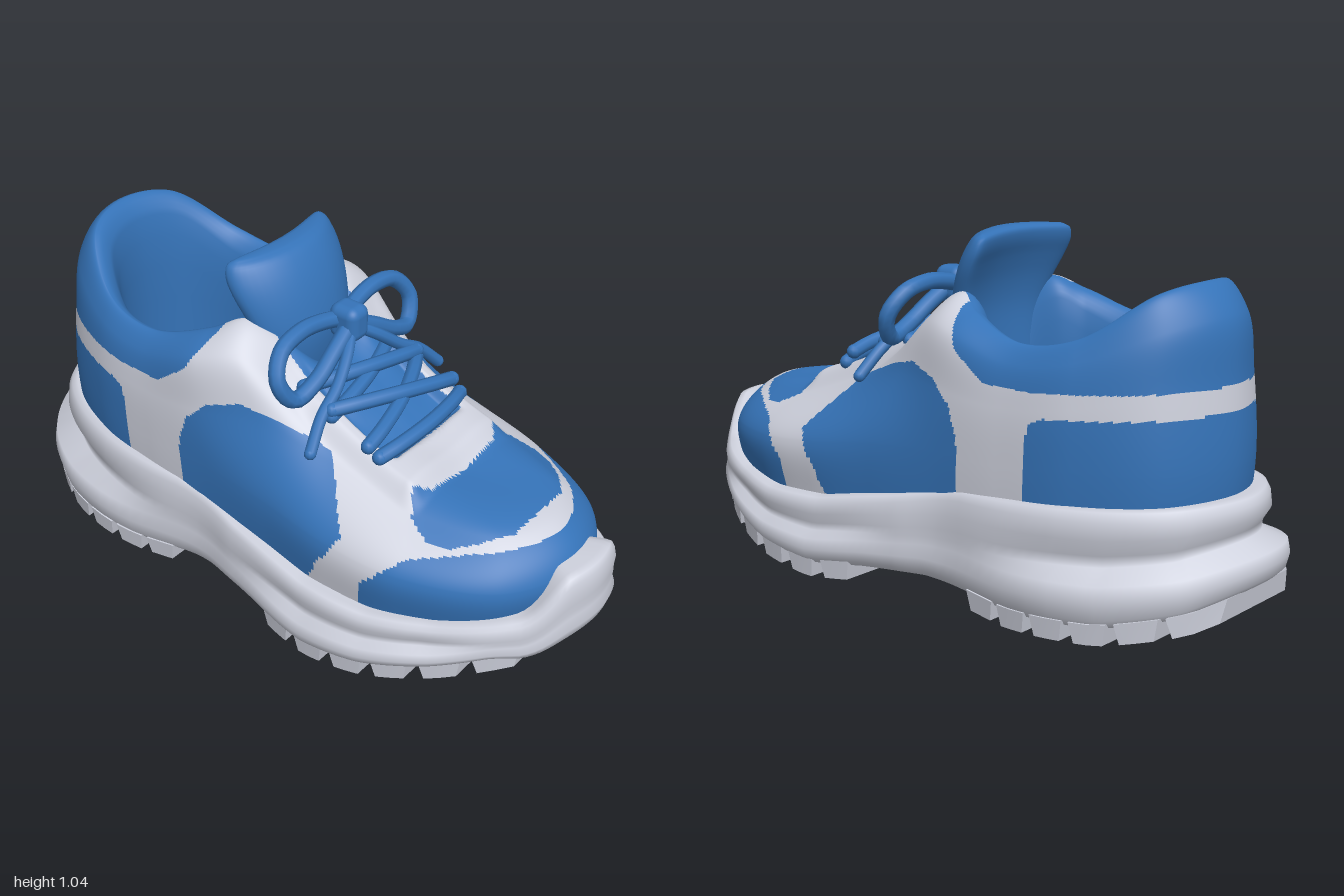
import * as THREE from 'three';
import { RoundedBoxGeometry } from 'three/addons/geometries/RoundedBoxGeometry.js';

const V = (x, y, z) => new THREE.Vector3(x, y, z);
const smooth = THREE.MathUtils.smoothstep;

// Linear lookup in a list of [key, value] pairs with rising keys
function lookup(table, k) {
  if (k <= table[0][0]) return table[0][1];
  for (let i = 1; i < table.length; i++) {
    const [k0, v0] = table[i - 1], [k1, v1] = table[i];
    if (k <= k1) return v0 + (v1 - v0) * (k - k0) / (k1 - k0);
  }
  return table[table.length - 1][1];
}

// Closed ring from a heel-to-toe half, mirrored in x
function ring(half, n) {
  const right = half.map(p => V(...p));
  const left = right.slice(1, -1).reverse().map(p => V(-p.x, p.y, p.z));
  const curve = new THREE.CatmullRomCurve3([...right, ...left], true);
  return Array.from({ length: n }, (_, i) => curve.getPoint(i / n));
}

function centreRing(r) {
  const c = r.reduce((s, p) => s.add(p), V(0, 0, 0)).divideScalar(r.length);
  return r.map(() => c.clone());
}

// Skin through rings; pick(centre, row) chooses a material slot per quad
function loft(rings, pick = () => 0, slots = 1) {
  const n = rings[0].length, lists = Array.from({ length: slots }, () => []);
  const c = V(0, 0, 0);
  for (let i = 0; i < rings.length - 1; i++) {
    for (let j = 0; j < n; j++) {
      const k = (j + 1) % n, a = i * n, b = a + n;
      c.copy(rings[i][j]).add(rings[i][k]).add(rings[i + 1][j]).add(rings[i + 1][k]).multiplyScalar(.25);
      lists[pick(c, i)].push(a + j, b + j, a + k, a + k, b + j, b + k);
    }
  }
  const g = new THREE.BufferGeometry().setFromPoints(rings.flat());
  g.setIndex(lists.flat());
  let start = 0;
  if (slots > 1) lists.forEach((l, m) => { g.addGroup(start, l.length, m); start += l.length; });
  g.computeVertexNormals();
  return g;
}

function inside(poly, a, b) {
  let hit = false;
  for (let i = 0, j = poly.length - 1; i < poly.length; j = i++) {
    const [ai, bi] = poly[i], [aj, bj] = poly[j];
    if ((bi > b) !== (bj > b) && a < (aj - ai) * (b - bi) / (bj - bi) + ai) hit = !hit;
  }
  return hit;
}

// Upper: half rings from heel to toe at rising levels
const wall = [[0, .45, -.89], [.23, .45, -.80], [.345, .45, -.58], [.375, .43, -.35], [.38, .44, -.12],
  [.39, .43, .1], [.4, .4, .34], [.37, .38, .57], [.23, .37, .83], [0, .38, .93]];
const flank = [[0, .68, -.88], [.22, .68, -.79], [.34, .62, -.58], [.37, .6, -.36], [.37, .62, -.15],
  [.325, .635, .04], [.27, .57, .26], [.24, .505, .5], [.15, .48, .76], [0, .48, .84]];
const shoulder = [[0, .86, -.86], [.2, .83, -.78], [.32, .74, -.57], [.345, .72, -.37], [.345, .78, -.17],
  [.295, .8, -.05], [.18, .695, .11], [.12, .595, .3], [.06, .55, .41], [0, .535, .45]];
const rim = [[0, .945, -.78], [.17, .92, -.73], [.28, .80, -.56], [.295, .77, -.38], [.255, .83, -.19],
  [.2, .87, -.1], [.14, .8, 0], [.08, .73, .05], [.04, .705, .07], [0, .70, .08]];

// Blue panels: the first four seen from the side as [z, y], the vamp from above as [x, z]
const sidePanels = [
  [[.383, .434], [.25, .59], [.1, .65], [-.02, .68], [-.12, .65], [-.19, .585], [-.22, .49], [-.22, .1], [.29, .1], [.27, .247]],
  [[-.445, .1], [-.445, .5], [-.46, .57], [-.5, .59], [-1, .615], [-1, .1]],
  [[-.15, .84], [-.2, .74], [-.31, .66], [-.45, .655], [-1, .685], [-1, 1.1], [-.15, 1.1]],
  [[1, .472], [.86, .468], [.72, .452], [.57, .425], [.465, .33], [.43, .1], [1, .1]],
];
const vampPanel = [[-.01, .79], [.12, .78], [.2, .72], [.26, .65], [.275, .6], [.25, .53], [.2, .49], [.15, .525], [-.01, .535]];

// Sole: plan outline [x, z], with top and tread heights along z
const outline = [[0, -1], [.24, -.92], [.365, -.77], [.425, -.54], [.395, -.16], [.42, 0], [.468, .25],
  [.465, .45], [.415, .63], [.31, .81], [.17, .95], [0, 1]];
const soleTop = [[-1, .38], [-.7, .367], [-.22, .35], [0, .3], [.27, .25], [.5, .24], [.7, .255], [.9, .295], [1, .32]];
const tread = [[-1, .1], [-.9, .05], [-.7, .01], [-.4, 0], [-.25, .015], [-.1, .03], [.1, .025], [.3, .005],
  [.5, .03], [.7, .08], [.9, .145], [1, .2]];

export function createModel() {
  const group = new THREE.Group();
  const mat = (name, color) => {
    const m = new THREE.MeshStandardMaterial({ color });
    m.name = name;
    return m;
  };
  const blue = mat('blue fabric', 0x3573b8);
  const grey = mat('light grey', 0xced1dd);
  const navy = mat('dark blue lining', 0x234d96);
  const add = (name, geo, m, parent = group) => {
    const mesh = new THREE.Mesh(geo, m);
    mesh.name = name;
    parent.add(mesh);
    return mesh;
  };

  // Upper with rolled collar and inner wall; rows are densest around the panel edges
  const N = 480, OUT = 106, ROWS = 116;
  const rowLevels = [[0, 0], [12, 1], [40, 2], [78, 3], [OUT, 4], [ROWS, 6]];
  const base = wall.map(([x, , z]) => [x * .97, .2, z * .97]);
  const inward = (f, yOf) => rim.map(([x, y, z]) => [x * (1 - f), yOf(y), z + (-.42 - z) * f]);
  const levels = [base, wall, flank, shoulder, rim, inward(.15, y => y - .06), inward(.18, () => .34)].map(h => ring(h, N));
  const columns = levels[0].map((_, j) => new THREE.CatmullRomCurve3(levels.map(l => l[j])));
  const rows = Array.from({ length: ROWS + 1 }, (_, i) => {
    const level = lookup(rowLevels, i);
    return columns.map(c => {
      const p = c.getPoint(level / 6), x = Math.abs(p.x);
      // Raised eyelet facing around the recessed throat
      if (level > 1.6 && level < 4) {
        const plate = (1 - smooth(p.z, .475, .54)) * (1 - smooth(x, .19, .25)) * smooth(p.z, 0, .2);
        const throat = (1 - smooth(x, .14, .175)) * (1 - smooth(p.z, .375, .415));
        p.y += .036 * plate * (1 - throat);
      }
      return p;
    });
  });
  const upperSlot = (p, row) => {
    const x = Math.abs(p.x);
    if (row >= OUT) return 0;
    if (sidePanels.some(poly => inside(poly, p.z, p.y))) return 0;
    if (row > 24 && inside(vampPanel, x, p.z)) return 0;
    return row > 40 && x < .165 && p.z < .4 && p.z > -.1 ? 0 : 1;
  };
  add('upper', loft(rows, upperSlot, 2), [blue, grey]);
  add('insole', loft([levels[6], centreRing(levels[6])]), navy);

  // Midsole: offsets of the outline stacked from tread to top edge
  const plan = ring(outline.map(([x, z]) => [x, 0, z]), 198);
  const normals = plan.map((p, i) => {
    const t = plan[(i + 1) % 198].clone().sub(plan[(i + 197) % 198]).normalize();
    return V(t.z, 0, -t.x);
  });
  // Each entry: height fraction, inset, extra inset at the heel, inset kept at waist and toe
  const soleLevels = [[0, .05, 0, 1], [.02, .03, 0, 1], [.1, .01, 0, 1], [.25, 0, 0, 1], [.4, .008, 0, 1],
    [.5, .035, .045, .2], [.6, .038, .04, .2], [.75, .025, .03, .2], [.9, .03, .03, .4], [.98, .042, .03, .5],
    [1, .06, .03, .7], [.97, .15, 0, 1]];
  const soleRings = soleLevels.map(([f, inset, heel, keep]) => plan.map((p, i) => {
    const low = lookup(tread, p.z) + .038 * (1 - smooth(p.z, .82, .95));
    const bumper = .1 * smooth(p.z, .75, .9) * (1 - smooth(Math.abs(p.x), .1, .24));
    const high = lookup(soleTop, p.z) + bumper;
    const tight = Math.max(1 - smooth(Math.abs(p.z + .14), .1, .4), smooth(p.z, .65, .85));
    const d = inset * (1 - (1 - keep) * tight) + heel * smooth(-p.z, .3, .8);
    const q = p.clone().addScaledVector(normals[i], -d);
    q.y = low + (high - low) * f;
    return q;
  }));
  // Underside follows the tread curve along the centre line
  const spine = soleRings[0].map(p => V(0, p.y, p.z));
  add('midsole', loft([spine, ...soleRings]), grey);

  // Tread lugs across the sole
  const halfWidths = plan.slice(0, 100).map(p => [p.z, p.x]);
  const lugs = new THREE.Group();
  lugs.name = 'treadLugs';
  group.add(lugs);
  for (const zc of [.195, .325, .455, .585, .715, .84, -.315, -.435, -.555, -.675, -.795, -.91]) {
    const g = new THREE.BoxGeometry(2, 1, .1, 10, 1, 2), p = g.attributes.position;
    for (let i = 0; i < p.count; i++) {
      const under = p.getY(i) < 0;
      const z = zc + p.getZ(i) * (under ? .78 : 1);
      const w = lookup(halfWidths, z) - (under ? .02 : .012);
      p.setXYZ(i, p.getX(i) * w, lookup(tread, z) + (under ? 0 : .06), z);
    }
    g.computeVertexNormals();
    add('treadLug', g, grey, lugs);
  }

  // Padded tongue: centre y, z, half width, half thickness
  const tongueKeys = [[.4, -.08, .11, .02], [.55, -.05, .14, .035], [.7, -.025, .165, .05], [.8, -.02, .185, .055],
    [.88, -.035, .205, .055], [.95, -.06, .22, .055], [1, -.085, .22, .052], [1.03, -.1, .208, .04], [1.042, -.105, .185, .015]];
  const pow = (v, e) => Math.sign(v) * Math.abs(v) ** e;
  const tongueRings = tongueKeys.map(([y, z, w, t]) => Array.from({ length: 40 }, (_, i) => {
    const a = i / 40 * Math.PI * 2, x = w * pow(Math.sin(a), .75);
    return V(x, y - .25 * x * x, z - t * pow(Math.cos(a), .75) - 1.3 * x * x);
  }));
  const tongueCols = tongueRings[0].map((_, j) => new THREE.CatmullRomCurve3(tongueRings.map(r => r[j])).getPoints(32));
  const tongueRows = Array.from({ length: 33 }, (_, i) => tongueCols.map(c => c[i]));
  const tip = tongueRows[32].map(p => V(p.x, p.y, -.105 - 1.3 * p.x * p.x));
  add('tongue', loft([...tongueRows, tip]), blue);

  // Laces crossing the throat
  const laces = new THREE.Group();
  laces.name = 'laces';
  group.add(laces);
  const tube = (name, pts, r) => {
    const path = pts.map(p => V(...p));
    add(name, new THREE.TubeGeometry(new THREE.CatmullRomCurve3(path), 36, r, 8), blue, laces);
    for (const end of [path[0], path[path.length - 1]]) {
      add('laceEnd', new THREE.SphereGeometry(r, 10, 8), blue, laces).position.copy(end);
    }
  };
  for (const [z0, z1, lift] of [[.38, .37, 0], [.34, .21, .005], [.21, .34, .025], [.21, .11, .005], [.11, .21, .025]]) {
    tube('crossLace', [-.2, -.13, 0, .13, .2].map(x => {
      const z = z0 + (z1 - z0) * (x + .2) / .4;
      return [x, .615 + (.4 - z) * .36 + lift - x * x * .5, z + .03 - x * x * .8];
    }), .022);
  }

  // Bow: knot, two loops and two loose ends
  add('knot', new RoundedBoxGeometry(.085, .11, .1, 4, .03), blue, laces).position.set(0, .85, .11);
  for (const s of [1, -1]) {
    tube('bowLoop', [[0, .85, .09], [.08, .868, .075], [.17, .877, .07], [.26, .855, .075], [.305, .79, .1], [.265, .72, .125],
      [.18, .745, .135], [.09, .8, .13], [0, .85, .12]].map(([x, y, z]) => [s * x, y, z]), .025);
    tube('looseEnd', [[0, .84, .12], [.07, .79, .16], [.15, .725, .185], [.23, .675, .195], [.305, .6, .215]]
      .map(([x, y, z]) => [s * x, y, z]), .018);
  }
  return group;
}
